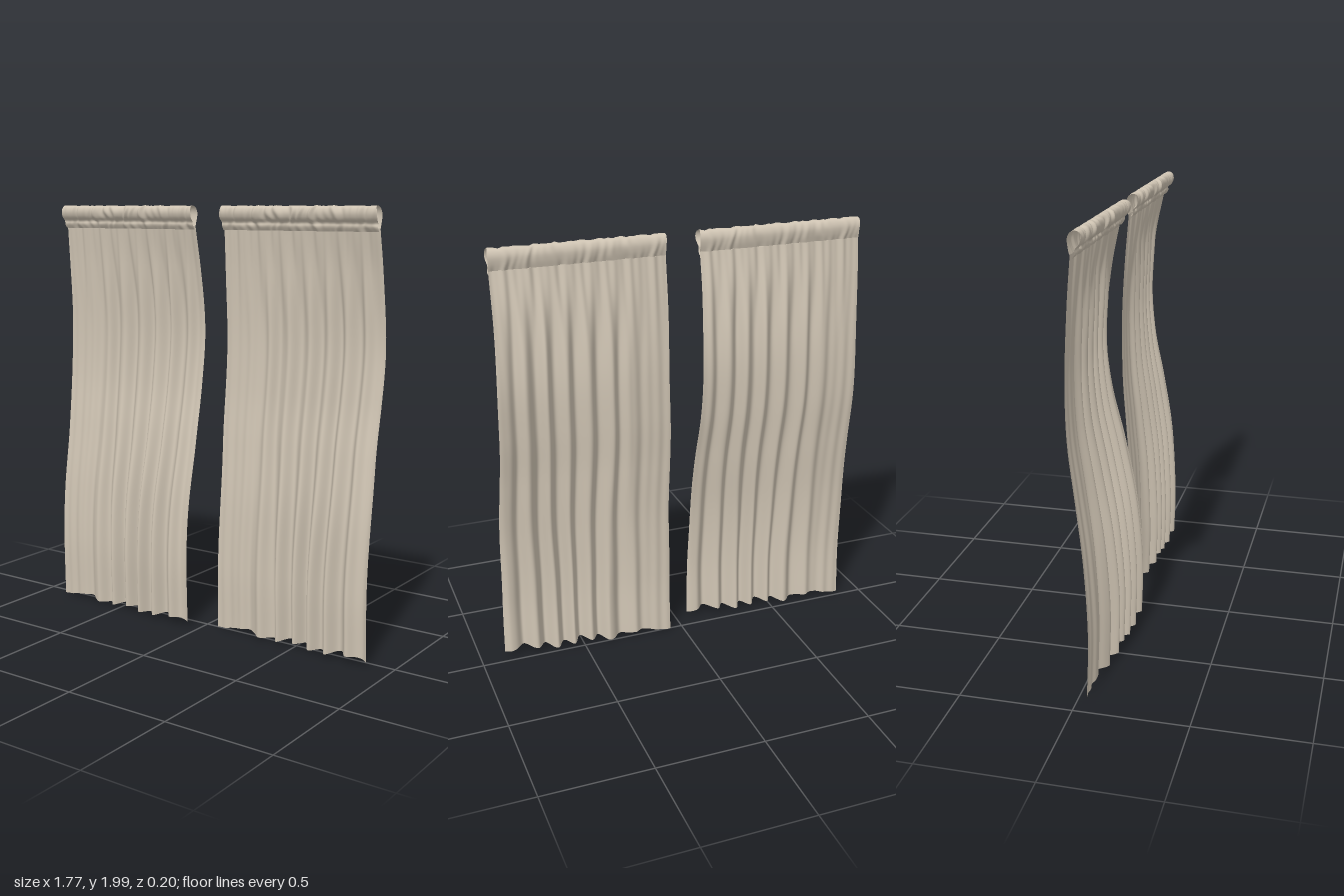
import * as THREE from 'three';

const { lerp, smoothstep } = THREE.MathUtils;
const HALF_TOP = 0.392, HALF_HEM = 0.412;

// Hanging sway from hem to neck: (z at inner start edge, y, z at far edge)
const sway = new THREE.CatmullRomCurve3([
  [0.03, 0, 0.08], [0.036, 0.3, 0.085], [0.02, 0.6, 0.06], [-0.015, 0.9, 0.0],
  [-0.042, 1.15, -0.058], [-0.048, 1.4, -0.084], [-0.035, 1.7, -0.058], [-0.02, 1.9, -0.02],
].map((p) => new THREE.Vector3(...p)));

// Rod pocket section, wrapping from the back over the top to the front: (z, y)
const pocket = new THREE.CatmullRomCurve3([
  [-0.02, 1.9], [-0.028, 1.93], [-0.03, 1.962], [-0.018, 1.986], [0, 1.993], [0.018, 1.985],
  [0.025, 1.963], [0.017, 1.938], [0, 1.92], [0, 1.905], [-0.012, 1.885],
].map(([z, y]) => new THREE.Vector3(0, y, z)));

// Valley lines of the pleats at mid height and at the hem
const valleysMid = [-0.46, -0.34, -0.21, -0.12, -0.01, 0.09, 0.18, 0.27, 0.37, 0.48];
const valleysHem = [-0.46, -0.34, -0.23, -0.1, -0.005, 0.08, 0.16, 0.26, 0.38, 0.48];

function pleat(x, hem) {
  const v = valleysMid.map((m, i) => lerp(m, valleysHem[i], hem));
  let i = 0;
  while (i < v.length - 2 && x > v[i + 1]) i++;
  return -Math.cos(((x - v[i]) / (v[i + 1] - v[i])) * Math.PI * 2);
}

// Irregular fine gathers along the heading
const gather = (x, seed) =>
  0.5 * Math.sin(x * 66 + seed) + 0.35 * Math.sin(x * 113 + 2 * seed + 1) + 0.25 * Math.sin(x * 171 + seed * 3);

// Grid surface: u runs left to right, v along the section
function surface(fn, nu, nv) {
  const pos = [], index = [];
  for (let j = 0; j <= nv; j++) for (let i = 0; i <= nu; i++) pos.push(...fn(i / nu, j / nv));
  for (let j = 0; j < nv; j++) {
    for (let i = 0; i < nu; i++) {
      const a = j * (nu + 1) + i, c = a + nu + 1;
      index.push(a, a + 1, c + 1, a, c + 1, c);
    }
  }
  const g = new THREE.BufferGeometry();
  g.setAttribute('position', new THREE.Float32BufferAttribute(pos, 3));
  g.setIndex(index);
  g.computeVertexNormals();
  return g;
}

function curtain(name, cx, seed, hemShift, material) {
  const group = new THREE.Group();
  group.name = name;

  // Pleated cloth below the heading
  const drape = surface((u, v) => {
    const p = sway.getPoint(v);
    const down = 1 - p.y / 1.9;
    const s = u * 2 - 1;
    const x = s * lerp(HALF_TOP, HALF_HEM, down);
    const hem = 1 - smoothstep(p.y, 0.1, 1.2);
    const edge = smoothstep(u, 0.02, 0.45) * (1 - 0.75 * smoothstep(u, 0.86, 1));
    const amp = lerp(0.019, 0.029, hem) * edge * (1 - smoothstep(p.y, 1.5, 1.9));
    const top = smoothstep(p.y, 1.35, 1.9);
    const z = lerp(p.x, p.z, u) + hemShift * (1 - smoothstep(p.y, 0.3, 1.3))
      + amp * pleat(x, hem) + 0.006 * top * gather(x, seed)
      + 0.002 * (1 - top) * Math.sin(x * 120 + seed);
    const rise = (0.012 + 0.02 * u + 0.009 * Math.sin(u * 18.5 - 1.9)) * Math.max(0, 1 - p.y / 0.5);
    const waver = 0.003 * Math.sin(p.y * 9 + seed) * Math.sin(v * Math.PI);
    return [cx + x + waver, p.y + rise, z];
  }, 200, 60);

  // Gathered sleeve for the rod
  const sleeve = surface((u, v) => {
    const p = pocket.getPoint(v);
    const x = (u * 2 - 1) * HALF_TOP;
    const swell = Math.sin(v * Math.PI);
    const g = gather(x + 0.012 * Math.sin(v * 9 + x * 20), seed);
    const k = 1 + swell * 0.13 * g;
    const y = 1.955 + (p.y - 1.955) * lerp(1, k, 0.45);
    return [cx + x + 0.004 * swell * Math.sin(v * 14 + x * 30), Math.min(y, 2), p.z * k + 0.006 * g];
  }, 200, 30);

  for (const [part, geometry] of [['drape', drape], ['rodPocket', sleeve]]) {
    const mesh = new THREE.Mesh(geometry, material);
    mesh.name = part;
    group.add(mesh);
  }
  return group;
}

export function createModel() {
  const linen = new THREE.MeshStandardMaterial({ color: 0xcfc4b3, side: THREE.DoubleSide });
  linen.name = 'linen';
  const model = new THREE.Group();
  model.name = 'curtains';
  model.add(curtain('rightCurtain', -0.472, 0.4, 0, linen));
  model.add(curtain('leftCurtain', 0.472, 1.7, -0.034, linen));
  return model;
}
